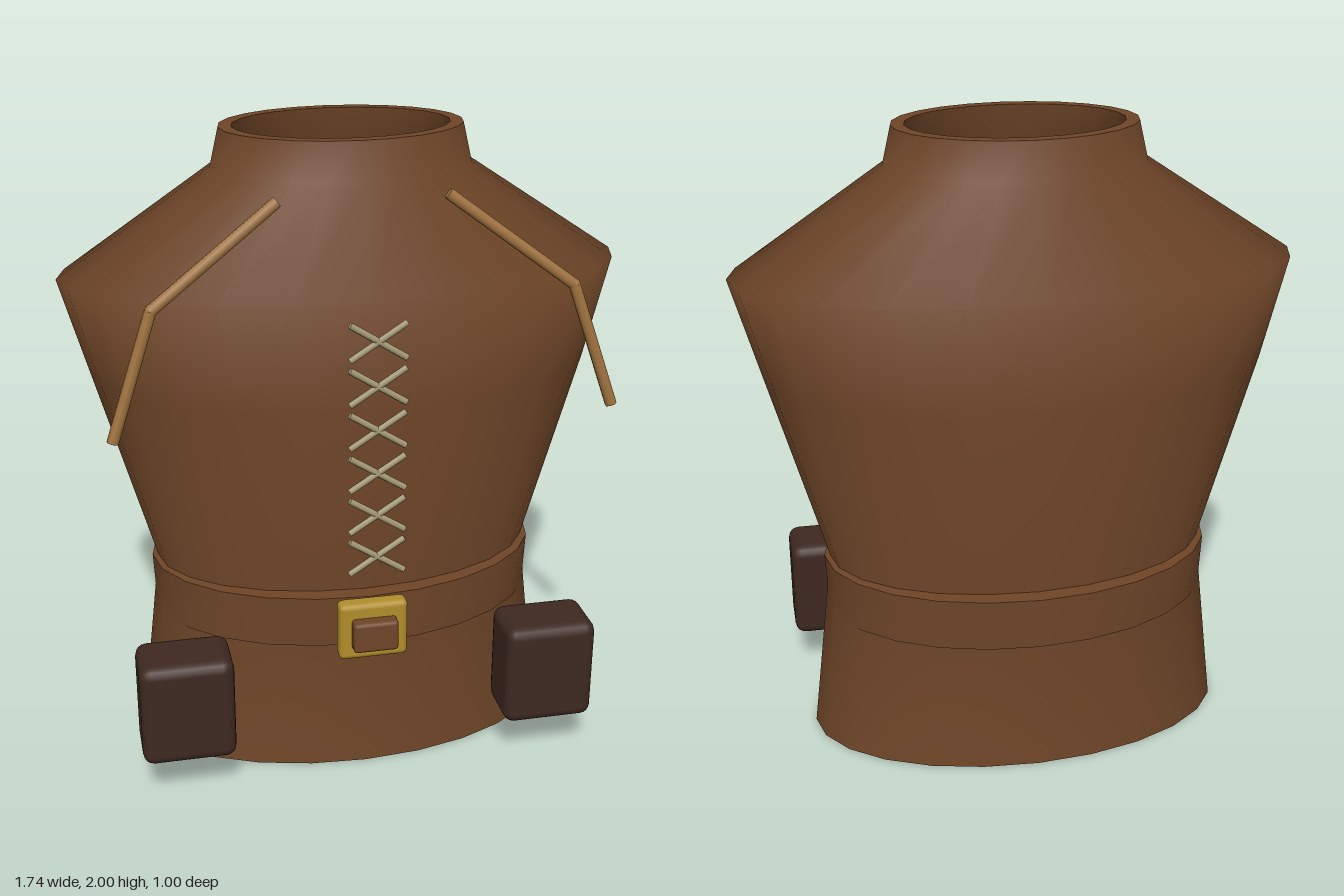
import * as THREE from 'three';
import { toCreasedNormals } from 'three/addons/utils/BufferGeometryUtils.js';
import { RoundedBoxGeometry } from 'three/addons/geometries/RoundedBoxGeometry.js';

const paint = (name, color) => {
  const m = new THREE.MeshStandardMaterial({ color });
  m.name = name;
  return m;
};

// Closed hollow shell: elliptical rings [y, rx, rz] run up the outside and down the inside
function shell(profile, thickness, centreZ, sides = 24) {
  const inner = profile.map(([y, rx, rz]) => [y, rx - thickness, rz - thickness]).reverse();
  const rings = [...profile, ...inner];
  const pos = [], index = [];
  for (const [y, rx, rz] of rings) {
    for (let j = 0; j < sides; j++) {
      const a = (j / sides) * Math.PI * 2;
      pos.push(Math.sin(a) * rx, y, Math.cos(a) * rz + centreZ);
    }
  }
  for (let i = 0; i < rings.length; i++) {
    const lo = i * sides, hi = ((i + 1) % rings.length) * sides;
    for (let j = 0; j < sides; j++) {
      const k = (j + 1) % sides;
      index.push(lo + j, lo + k, hi + k, lo + j, hi + k, hi + j);
    }
  }
  const g = new THREE.BufferGeometry();
  g.setAttribute('position', new THREE.Float32BufferAttribute(pos, 3));
  g.setIndex(index);
  return toCreasedNormals(g, 1.3);
}

// Cylinder between two points
function rod(a, b, radius, material) {
  const from = new THREE.Vector3(...a), to = new THREE.Vector3(...b);
  const dir = to.clone().sub(from);
  const mesh = new THREE.Mesh(new THREE.CylinderGeometry(radius, radius, dir.length(), 8), material);
  mesh.position.copy(from).add(to).multiplyScalar(0.5);
  mesh.quaternion.setFromUnitVectors(new THREE.Vector3(0, 1, 0), dir.normalize());
  return mesh;
}

export function createModel() {
  const leather = paint('brown leather', 0x6f4628);
  const darkLeather = paint('dark leather', 0x3e2821);
  const tan = paint('tan strap', 0xa0733f);
  const cord = paint('pale cord', 0xa39873);
  const brass = paint('brass', 0xb08d2b);

  const model = new THREE.Group();
  model.name = 'leatherTunic';
  const add = (name, geometry, material, x = 0, y = 0, z = 0) => {
    const mesh = new THREE.Mesh(geometry, material);
    mesh.name = name;
    mesh.position.set(x, y, z);
    model.add(mesh);
  };

  // Body with shoulders and collar
  add('tunicBody', shell([
    [0, 0.685, 0.39], [0.62, 0.61, 0.368], [1.25, 0.785, 0.467],
    [1.565, 0.872, 0.42], [1.88, 0.4, 0.295], [2, 0.372, 0.268],
  ], 0.04, -0.032), leather);

  // Belt and buckle
  add('belt', shell([[0.45, 0.62, 0.413], [0.62, 0.628, 0.422]], 0.06, -0.032), leather);
  add('buckle', new RoundedBoxGeometry(0.215, 0.19, 0.058, 2, 0.018), brass, 0, 0.537, 0.432);
  add('buckleCentre', new RoundedBoxGeometry(0.14, 0.1, 0.06, 2, 0.012), leather, 0, 0.535, 0.471);

  // Pouches and shoulder straps, mirrored
  for (const [side, s] of [['left', 1], ['right', -1]]) {
    add(side + 'Pouch', new RoundedBoxGeometry(0.29, 0.34, 0.2, 2, 0.035), darkLeather, s * 0.577, 0.315, 0.376);

    const strap = new THREE.Group();
    strap.name = side + 'ShoulderStrap';
    const top = [s * 0.25, 1.847, 0.28], bend = [s * 0.624, 1.57, 0.345], end = [s * 0.752, 1.193, 0.375];
    const joint = new THREE.Mesh(new THREE.SphereGeometry(0.018, 8, 6), tan);
    joint.position.set(...bend);
    strap.add(rod(top, bend, 0.018, tan), rod(bend, end, 0.018, tan), joint);
    model.add(strap);
  }

  // Crossed chest lacing
  const lacing = new THREE.Group();
  lacing.name = 'chestLacing';
  for (let i = 0; i < 6; i++) {
    const y = 0.81 + i * 0.135;
    for (const s of [1, -1]) {
      lacing.add(rod([-0.083 * s, y - 0.053, 0.488], [0.083 * s, y + 0.053, 0.488], 0.01, cord));
    }
  }
  model.add(lacing);
  return model;
}
